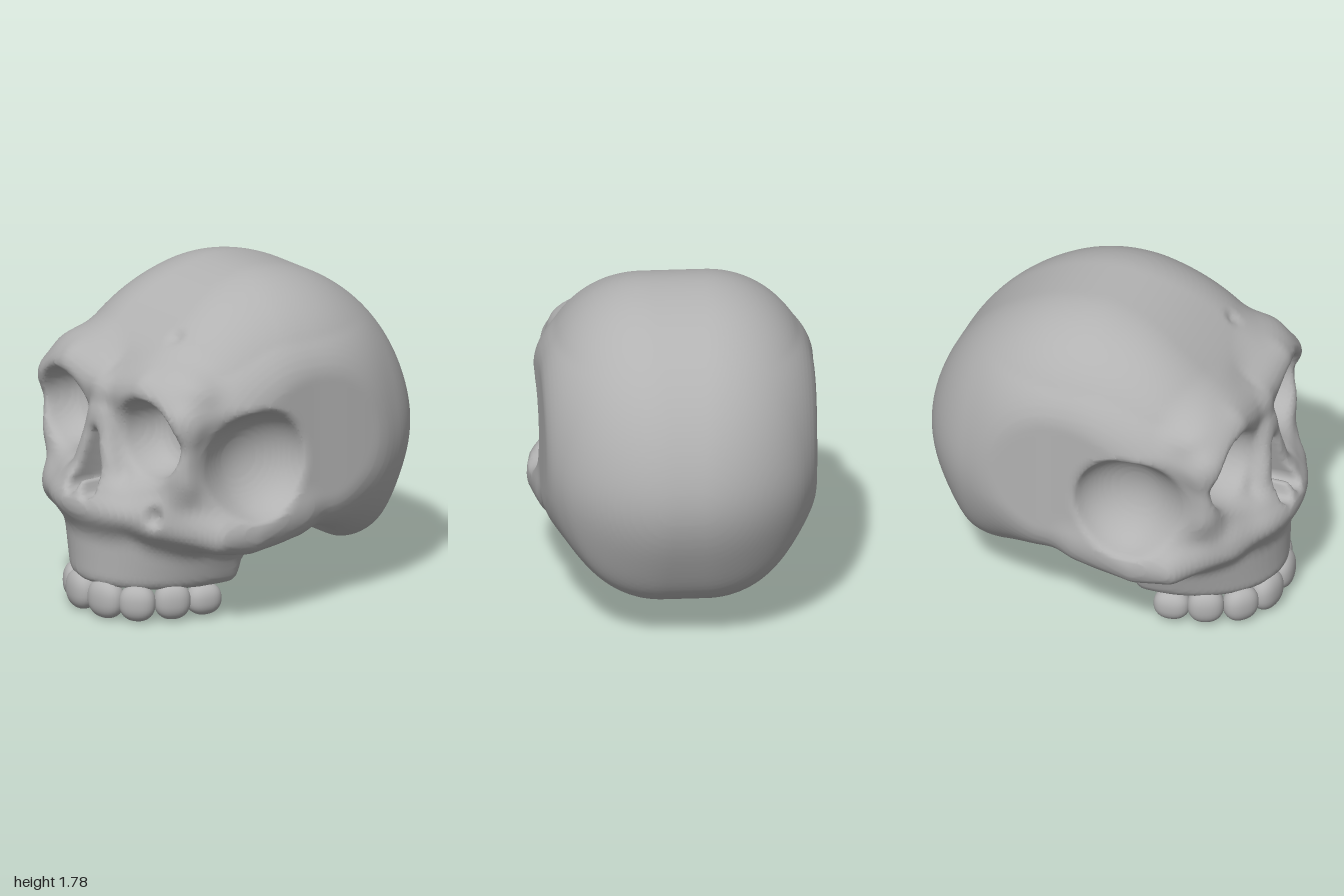
import * as THREE from 'three';
import { mergeVertices } from 'three/addons/utils/BufferGeometryUtils.js';

const { abs, min, max, hypot, sign } = Math;
const { clamp, lerp, smoothstep } = THREE.MathUtils;

// --- Sculpting helpers: distances are negative inside a form ---
const smin = (a, b, k) => {
  const h = max(k - abs(a - b), 0) / k;
  return min(a, b) - h * h * k * 0.25;
};
const smax = (a, b, k) => -smin(-a, -b, k);

function ellipsoid(x, y, z, cx, cy, cz, rx, ry, rz) {
  const a = (x - cx) / rx, b = (y - cy) / ry, c = (z - cz) / rz;
  const k0 = hypot(a, b, c), k1 = hypot(a / rx, b / ry, c / rz);
  return k1 < 1e-6 ? -min(rx, ry, rz) : (k0 * (k0 - 1)) / k1;
}

function capsule(x, y, z, ax, ay, az, ra, bx, by, bz, rb) {
  const dx = bx - ax, dy = by - ay, dz = bz - az;
  const px = x - ax, py = y - ay, pz = z - az;
  const h = clamp((px * dx + py * dy + pz * dz) / (dx * dx + dy * dy + dz * dz), 0, 1);
  return hypot(px - dx * h, py - dy * h, pz - dz * h) - ra - (rb - ra) * h;
}

// Intersection of two slabs with a rounded edge of radius r
function roundedEdge(a, b, r) {
  a += r; b += r;
  return min(max(a, b), 0) + hypot(max(a, 0), max(b, 0)) - r;
}

// Signed distance to a closed outline
function outlineDistance(pts, px, py) {
  let d = Infinity, s = 1;
  for (let i = 0, j = pts.length - 1; i < pts.length; j = i++) {
    const a = pts[i], b = pts[j];
    const ex = b.x - a.x, ey = b.y - a.y, wx = px - a.x, wy = py - a.y;
    const l = ex * ex + ey * ey;
    if (l < 1e-12) continue;
    const t = clamp((wx * ex + wy * ey) / l, 0, 1);
    d = min(d, hypot(wx - ex * t, wy - ey * t));
    const c1 = py >= a.y, c2 = py < b.y, c3 = ex * wy > ey * wx;
    if ((c1 && c2 && c3) || (!c1 && !c2 && !c3)) s = -s;
  }
  return s * d;
}

// Side outline of the braincase as z, y
const CRANIUM = [
  [0.69, 1.38], [0.5, 1.545], [0.3, 1.682], [0.1, 1.758], [-0.07, 1.782], [-0.3, 1.743],
  [-0.5, 1.653], [-0.7, 1.503], [-0.86, 1.303], [-0.965, 1.07], [-1.003, 0.85], [-0.965, 0.65],
  [-0.865, 0.44], [-0.755, 0.25], [-0.62, 0.175], [-0.485, 0.24], [-0.35, 0.35], [-0.2, 0.428],
  [-0.08, 0.447], [0.2, 0.44], [0.48, 0.52], [0.64, 0.8], [0.71, 1.2], [0.69, 1.38],
].map(([z, y]) => new THREE.Vector2(z, y));

// Whole bone form at a point; profile is the braincase outline distance
function bone(X, y, z, profile) {
  const x = abs(X);

  // Braincase: fully rounded above and behind, tighter below the temples
  const top = 0.58 - 0.06 * smoothstep(z, 0.1, 0.5);
  const r = lerp(0.58, clamp(0.2 + 0.5 * (y - 0.72), 0.2, top), smoothstep(z, -0.65, -0.15));
  const halfWidth = 0.72 - 0.1 * max(0, -0.2 - z) ** 2 + 0.012 * smoothstep(z, -0.1, 0.2);
  let d = roundedEdge(profile, x - halfWidth, r);

  // Face block with rounded corners, bending back to the sides
  const fx = x - 0.65 + 0.25, fy = abs(y - 0.96) - 0.34 + 0.25;
  const plan = min(max(fx, fy), 0) + hypot(max(fx, 0), max(fy, 0)) - 0.25;
  d = smin(d, roundedEdge(plan, abs(z + 0.1 * x * x - 0.5) - 0.3, 0.1), 0.12);

  // Brow ridges, sloping up into the forehead
  const brow = min(
    capsule(x, y, z, 0.1, 1.22, 0.72, 0.065, 0.32, 1.27, 0.735, 0.08),
    capsule(x, y, z, 0.32, 1.27, 0.735, 0.08, 0.55, 1.16, 0.69, 0.085));
  d = smin(d, smin(brow, ellipsoid(x, y, z, 0.33, 1.27, 0.6, 0.28, 0.13, 0.16), 0.06), 0.12);

  // Upper jaw, arched in plan and flaring upward, with a swelling under the nose
  const flare = 0.46 + 0.35 * clamp(y - 0.18, 0, 0.25);
  const arch = (hypot(x / flare, max(z - 0.35, 0) / 0.57) - 1) * 0.5;
  let jaw = smax(arch, max(0.165 - y, y - 0.75), 0.07);
  jaw = smax(jaw, 0.24 - z - max(0, y - 0.3) * 0.4, 0.07);
  d = smin(d, jaw, 0.1);
  d = smin(d, ellipsoid(x, y, z, 0, 0.61, 0.77, 0.43, 0.14, 0.225), 0.1);

  // Cheekbones
  const cheek = min(
    capsule(x, y, z, 0.44, 0.59, 0.73, 0.09, 0.645, 0.51, 0.52, 0.09),
    capsule(x, y, z, 0.645, 0.51, 0.52, 0.09, 0.65, 0.495, 0.34, 0.097),
    capsule(x, y, z, 0.65, 0.495, 0.34, 0.097, 0.6, 0.53, 0.04, 0.09));
  d = smin(d, cheek, 0.16);

  // Nose bridge and the rims beside the nose opening
  d = smin(d, capsule(x, y, z, 0, 1.2, 0.77, 0.065, 0, 1.06, 0.79, 0.065), 0.07);
  d = smin(d, capsule(x, y, z, 0.03, 1.08, 0.8, 0.055, 0.14, 0.72, 0.83, 0.07), 0.05);

  // Eye sockets with a flattened floor
  const socket = ellipsoid(x, y, z, 0.368, 1.02, 0.78, 0.218, 0.212, 0.32);
  d = smax(d, -smax(socket, 0.53 - z, 0.08), 0.06);
  // Nose opening, forked at its foot
  const nz = (z - 0.86) * 0.25;
  const nose = min(
    capsule(x, y, nz, 0, 0.98, 0, 0.03, 0.068, 0.7, 0, 0.048),
    capsule(x, y, nz, 0, 0.98, 0, 0.03, 0, 0.8, 0, 0.06));
  d = smax(d, -nose, 0.02);
  // Temple hollows, deep behind and shallow toward the eye
  d = smax(d, -ellipsoid(x, y, z, 0.78, 0.88, 0.31, 0.27, 0.3, 0.305), 0.03);
  d = smax(d, -ellipsoid(x, y, z, 0.8, 0.9, 0.5, 0.19, 0.28, 0.25), 0.08);
  // Palate
  d = smax(d, -ellipsoid(x, y, z, 0, 0.14, 0.36, 0.385, 0.3, 0.49), 0.06);
  // Small dents on the left side
  d = smax(d, -ellipsoid(X, y, z, 0.27, 1.53, 0.54, 0.035, 0.03, 0.04), 0.04);
  return smax(d, -ellipsoid(X, y, z, 0.48, 0.63, 0.83, 0.03, 0.04, 0.04), 0.05);
}

// Skins the bone form with one vertex per crossed grid cell
function boneGeometry() {
  const h = 0.02, lo = [-0.85, 0.05, -1.07], n = [86, 91, 108];
  const step = [n[1] * n[2], n[2], 1];
  const outline = new THREE.SplineCurve(CRANIUM).getPoints(90);
  let profile = Float32Array.from({ length: step[0] }, (_, m) =>
    outlineDistance(outline, lo[2] + (m % n[2]) * h, lo[1] + Math.floor(m / n[2]) * h));
  // Soften the inner folds of the outline distance
  for (let pass = 0; pass < 50; pass++)
    profile = profile.map((v, m, p) => (m < n[2] || m >= step[0] - n[2] || m % n[2] === 0 || m % n[2] === n[2] - 1)
      ? v : (v + p[m - 1] + p[m + 1] + p[m - n[2]] + p[m + n[2]]) / 5);
  const field = Float32Array.from({ length: n[0] * step[0] }, (_, p) => {
    const m = p % step[0];
    return bone(lo[0] + Math.floor(p / step[0]) * h, lo[1] + Math.floor(m / n[2]) * h, lo[2] + (m % n[2]) * h, profile[m]);
  });

  const cell = new Int32Array(field.length).fill(-1), pos = [], index = [];
  const offset = (c) => (c & 1) * step[0] + ((c >> 1) & 1) * step[1] + ((c >> 2) & 1);
  for (let i = 0; i < n[0] - 1; i++) for (let j = 0; j < n[1] - 1; j++) for (let k = 0; k < n[2] - 1; k++) {
    const p = i * step[0] + j * step[1] + k, s = [0, 0, 0];
    let count = 0;
    for (let c = 0; c < 8; c++) for (let a = 0; a < 3; a++) {
      if (c & (1 << a)) continue;
      const v0 = field[p + offset(c)], v1 = field[p + offset(c | (1 << a))];
      if ((v0 < 0) === (v1 < 0)) continue;
      for (let m = 0; m < 3; m++) s[m] += m === a ? v0 / (v0 - v1) : (c >> m) & 1;
      count++;
    }
    if (!count) continue;
    cell[p] = pos.length / 3;
    [i, j, k].forEach((g, m) => pos.push(lo[m] + (g + s[m] / count) * h));
  }
  for (let i = 1; i < n[0] - 1; i++) for (let j = 1; j < n[1] - 1; j++) for (let k = 1; k < n[2] - 1; k++) {
    const p = i * step[0] + j * step[1] + k;
    for (let a = 0; a < 3; a++) {
      const inside = field[p] < 0;
      if (inside === field[p + step[a]] < 0) continue;
      const u = step[(a + 1) % 3], v = step[(a + 2) % 3];
      const q = [p - u - v, p - v, p, p - u].map((c) => cell[c]);
      if (!inside) q.reverse();
      index.push(q[0], q[1], q[2], q[0], q[2], q[3]);
    }
  }
  const geo = new THREE.BufferGeometry();
  geo.setAttribute('position', new THREE.Float32BufferAttribute(pos, 3));
  geo.setIndex(index);
  geo.computeVertexNormals();
  return geo;
}

// Slightly squared ball for a tooth
function toothGeometry() {
  const geo = new THREE.SphereGeometry(1, 28, 20);
  geo.deleteAttribute('uv');
  geo.deleteAttribute('normal');
  const p = geo.attributes.position, soft = (v) => sign(v) * abs(v) ** 0.88;
  for (let i = 0; i < p.count; i++) p.setXYZ(i, soft(p.getX(i)), soft(p.getY(i)), soft(p.getZ(i)));
  const merged = mergeVertices(geo, 1e-4);
  merged.computeVertexNormals();
  return merged;
}

export function createModel() {
  const boneGray = new THREE.MeshStandardMaterial({ color: 0xb2b2b2 });
  boneGray.name = 'boneGray';
  const model = new THREE.Group();
  model.name = 'skull';
  const cranium = new THREE.Mesh(boneGeometry(), boneGray);
  cranium.name = 'craniumAndFace';
  // Teeth along the jaw arch: x, z, half width, half height, turn
  const teeth = new THREE.Group(), tooth = toothGeometry();
  teeth.name = 'upperTeeth';
  [[0.107, 0.86, 0.11, 0.105, 0.18], [0.268, 0.775, 0.098, 0.098, 0.7],
    [0.36, 0.615, 0.097, 0.1, 1.15], [0.4, 0.44, 0.097, 0.085, 1.4],
  ].forEach(([x, z, w, t, turn], i) => {
    for (const side of [1, -1]) {
      const mesh = new THREE.Mesh(tooth, boneGray);
      mesh.name = `${side > 0 ? 'left' : 'right'}Tooth${i + 1}`;
      mesh.scale.set(w, t, 0.073);
      mesh.position.set(side * x, t + 0.005 * i, z);
      mesh.rotation.y = side * turn;
      teeth.add(mesh);
    }
  });
  model.add(cranium, teeth);
  return model;
}
